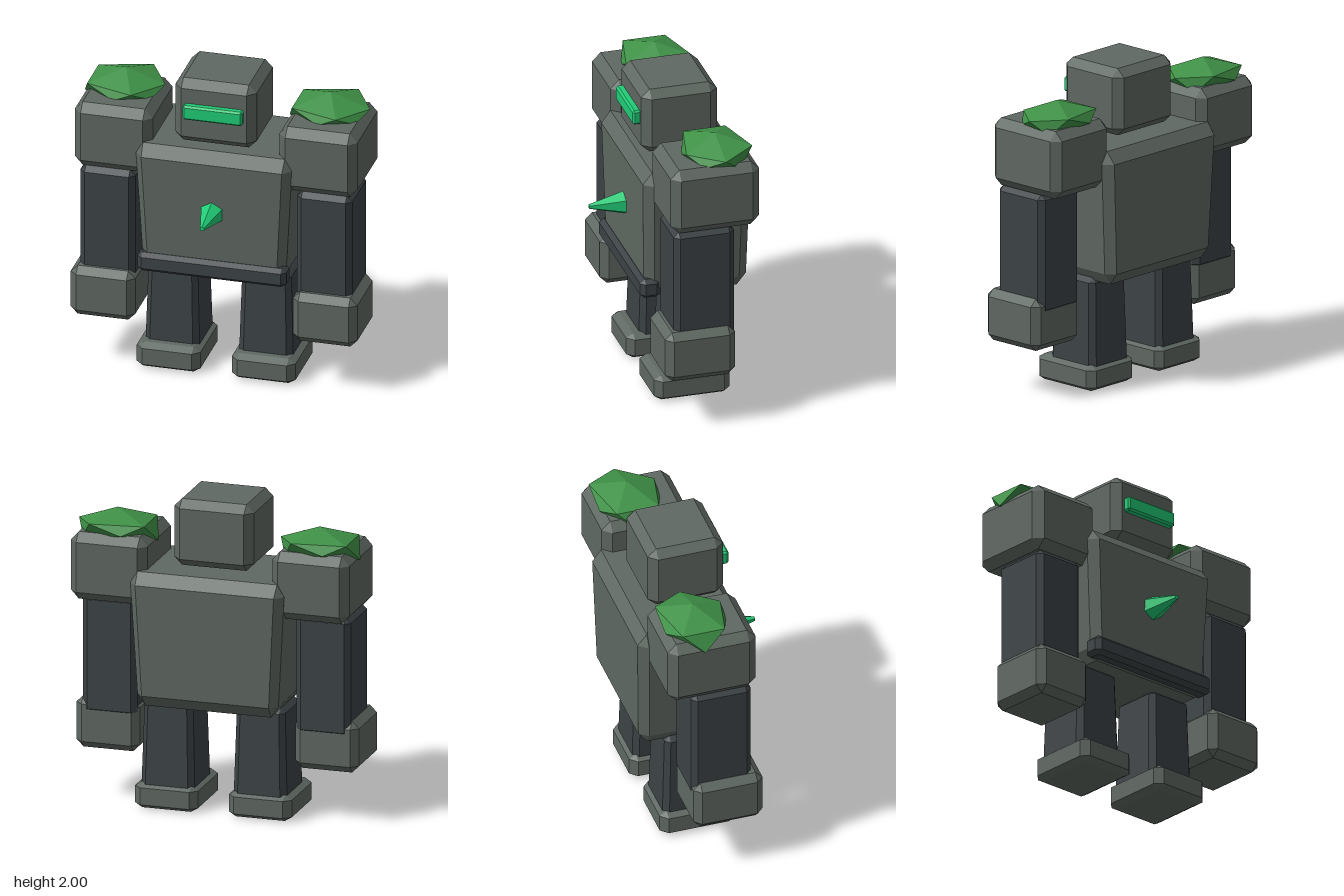
import * as THREE from 'three';
import { ConvexGeometry } from 'three/addons/geometries/ConvexGeometry.js';

const material = (name, color) => {
  const m = new THREE.MeshStandardMaterial({ color });
  m.name = name;
  return m;
};

// Box with flat chamfers c = [cx, cy, cz]; bottom = [sx, sz] scales the lower end, top the upper
function chamferBox([w, h, d], [cx, cy, cz], bottom = [1, 1], top = [1, 1]) {
  const pts = [];
  for (const sx of [-1, 1]) for (const sy of [-1, 1]) for (const sz of [-1, 1]) {
    for (const [ix, iy, iz] of [[0, 1, 1], [1, 0, 1], [1, 1, 0]]) {
      const y = sy * (h / 2 - iy * cy);
      const t = y / h + 0.5;
      pts.push(new THREE.Vector3(
        sx * (w / 2 - ix * cx) * THREE.MathUtils.lerp(bottom[0], top[0], t),
        y,
        sz * (d / 2 - iz * cz) * THREE.MathUtils.lerp(bottom[1], top[1], t)));
    }
  }
  return new ConvexGeometry(pts);
}

// Faceted moss clump: apex, upper ring, lower ring and hidden base point
function mossClump() {
  const pts = [
    [0, 1.877, 0],
    [0.25, 1.79, 0], [0.12, 1.815, -0.205], [-0.21, 1.805, -0.13], [-0.21, 1.805, 0.14], [0.085, 1.79, 0.205],
    [0.19, 1.705, -0.11], [-0.08, 1.75, -0.2], [-0.262, 1.69, 0], [-0.03, 1.74, 0.205], [0.19, 1.735, 0.12],
    [0, 1.67, 0],
  ];
  return new ConvexGeometry(pts.map((p) => new THREE.Vector3(...p)));
}

export function createModel() {
  const model = new THREE.Group();
  model.name = 'stoneGolem';

  const stone = material('stone', 0x5f6862);
  const darkStone = material('darkStone', 0x3c4245);
  const moss = material('moss', 0x3f9147);
  const crystal = material('crystal', 0x20cc76);

  const add = (name, geometry, mat, x, y, z) => {
    const mesh = new THREE.Mesh(geometry, mat);
    mesh.name = name;
    mesh.position.set(x, y, z);
    model.add(mesh);
    return mesh;
  };

  // Head and glowing visor
  add('head', chamferBox([0.515, 0.425, 0.485], [0.05, 0.05, 0.055]), stone, 0, 1.7875, -0.0625);
  add('visor', chamferBox([0.38, 0.095, 0.08], [0.012, 0.012, 0.012]), crystal, 0, 1.805, 0.185);

  // Torso tapering to the waist, with a belt plate on the front
  add('torso', chamferBox([1.0, 0.86, 0.69], [0.05, 0.075, 0.06], [0.9, 0.94]), stone, 0, 1.12, -0.105);
  add('belt', chamferBox([0.945, 0.125, 0.13], [0.03, 0.025, 0.03]), darkStone, 0, 0.7625, 0.19);

  // Six-sided crystal spike on the chest
  const spike = new THREE.CylinderGeometry(0.015, 0.085, 0.25, 6).toNonIndexed();
  spike.rotateX(Math.PI / 2);
  spike.computeVertexNormals();
  add('chestCrystal', spike, crystal, 0, 1.145, 0.325);

  // Arms and legs on both sides
  for (const [side, s] of [['right', -1], ['left', 1]]) {
    add(side + 'Shoulder', chamferBox([0.495, 0.43, 0.565], [0.05, 0.055, 0.055]), stone, s * 0.65, 1.535, -0.103);
    add(side + 'Arm', chamferBox([0.35, 0.77, 0.385], [0.035, 0.035, 0.035]), darkStone, s * 0.688, 0.935, -0.037);
    add(side + 'Fist', chamferBox([0.41, 0.33, 0.445], [0.045, 0.045, 0.045]), stone, s * 0.705, 0.49, -0.003);
    add(side + 'Leg', chamferBox([0.345, 0.6, 0.37], [0.035, 0.03, 0.035], [1, 1], [0.9, 0.9]),
      darkStone, s * 0.297, 0.41, -0.1);
    add(side + 'Foot', chamferBox([0.405, 0.165, 0.48], [0.045, 0.028, 0.045]), stone, s * 0.302, 0.0825, -0.07);
    add(side + 'ShoulderMoss', mossClump(), moss, s * 0.65, 0, -0.16);
  }

  return model;
}
